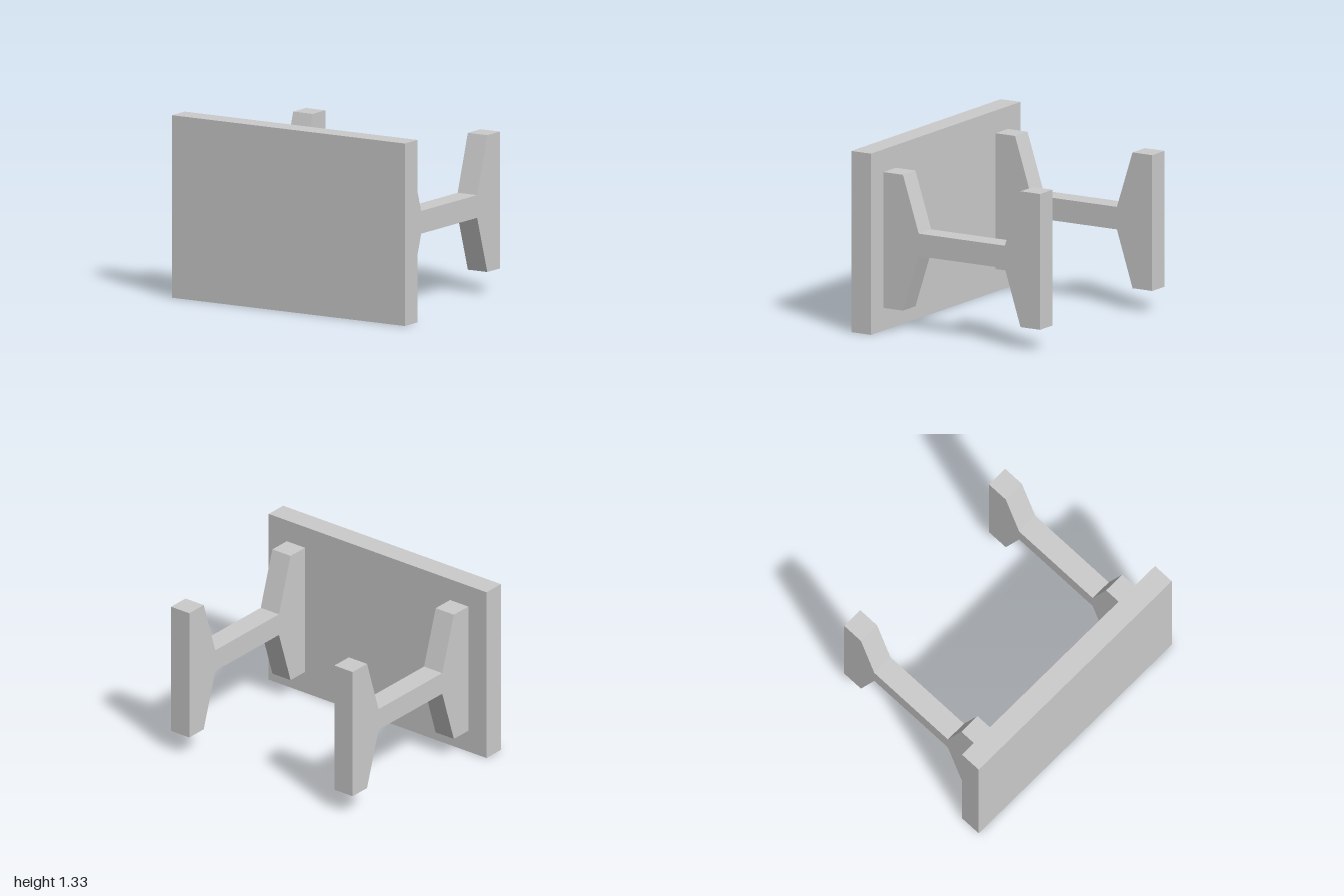
import * as THREE from 'three';

export function createModel() {
  const model = new THREE.Group();
  const material = new THREE.MeshStandardMaterial({ color: 0xcccccc, flatShading: true });
  const midY = 0.667;
  const thickness = 0.167;

  // Upright front panel
  const panel = new THREE.Mesh(new THREE.BoxGeometry(2, 2 * midY, thickness), material);
  panel.name = 'frontPanel';
  panel.position.set(0, midY, 0.667);
  model.add(panel);

  // Upper half of the I-shaped side profile as [z, height above the middle]
  const upper = [
    [0.583, 0.5], [0.417, 0.5], [0.283, 0.083],
    [-0.45, 0.083], [-0.583, 0.5], [-0.75, 0.5],
  ];
  const lower = upper.map(([z, y]) => [z, -y]).reverse();
  const profile = new THREE.Shape([...upper, ...lower].map(([z, y]) => new THREE.Vector2(z, y)));

  // Extrude across x, centred on the bracket's own middle plane
  const bracketGeometry = new THREE.ExtrudeGeometry(profile, { depth: thickness, bevelEnabled: false });
  bracketGeometry.translate(0, 0, -thickness / 2);
  bracketGeometry.rotateY(-Math.PI / 2);

  // Matching brackets behind the panel
  for (const [name, side] of [['leftBracket', 1], ['rightBracket', -1]]) {
    const bracket = new THREE.Mesh(bracketGeometry, material);
    bracket.name = name;
    bracket.position.set(side * 0.75, midY, 0);
    model.add(bracket);
  }

  return model;
}
